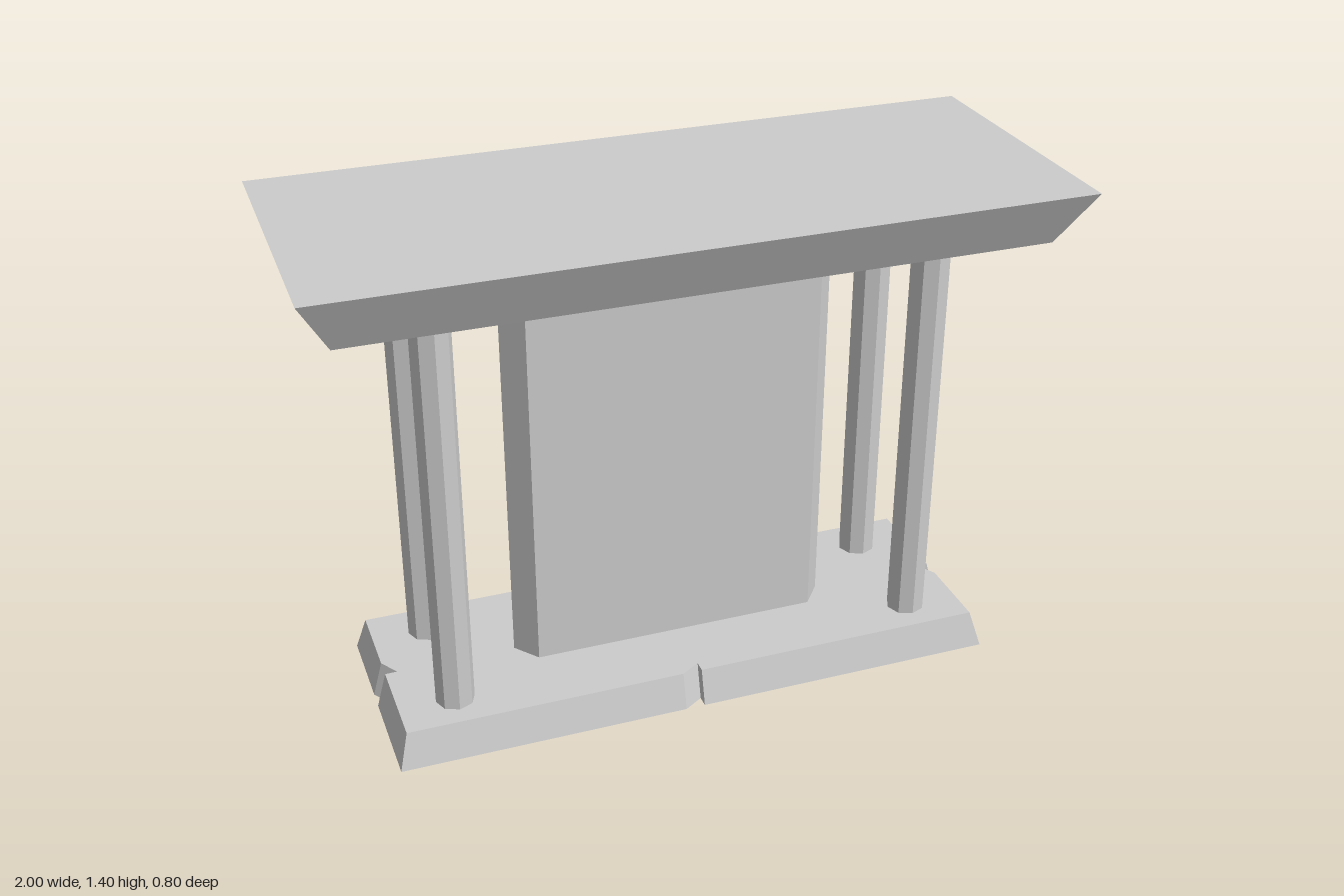
import * as THREE from 'three';

const stone = new THREE.MeshStandardMaterial({ color: 0xcccccc, side: THREE.DoubleSide });
stone.name = 'grey stone';
stone.flatShading = true;

// Joins two matching plan outlines of [x, z] points; caps are optional
function loft(name, lower, upper, y0, y1, closeBottom, closeTop) {
  const pos = [];
  const put = (ring, y, i) => pos.push(ring[i][0], y, ring[i][1]);
  const n = lower.length;
  for (let i = 0; i < n; i++) {
    const j = (i + 1) % n;
    put(lower, y0, i); put(lower, y0, j); put(upper, y1, j);
    put(lower, y0, i); put(upper, y1, j); put(upper, y1, i);
  }
  const cap = (ring, y, flip) => {
    const pts = ring.map(([x, z]) => new THREE.Vector2(x, -z));
    for (const [a, b, c] of THREE.ShapeUtils.triangulateShape(pts, [])) {
      for (const i of flip ? [a, c, b] : [a, b, c]) put(ring, y, i);
    }
  };
  if (closeBottom) cap(lower, y0, true);
  if (closeTop) cap(upper, y1, false);
  const geo = new THREE.BufferGeometry();
  geo.setAttribute('position', new THREE.Float32BufferAttribute(pos, 3));
  geo.computeVertexNormals();
  const mesh = new THREE.Mesh(geo, stone);
  mesh.name = name;
  return mesh;
}

const rectangle = (x, z) => [[-x, z], [x, z], [x, -z], [-x, -z]];

// Rectangle with a one-sided notch at the middle of each edge
function notched(x, z, w = 0.053, d = 0.033) {
  const half = [
    [-x, z], [-w, z], [0, z - d], [0, z],
    [x, z], [x, w], [x - d, 0], [x, 0],
  ];
  return [...half, ...half.map(([px, pz]) => [-px, -pz])];
}

export function createModel() {
  const group = new THREE.Group();
  group.name = 'pavilion';

  // Plinth, hollow underneath
  group.add(loft('base', notched(0.845, 0.298), notched(0.818, 0.271), 0, 0.1, false, true));

  // Central wall with pointed ends
  const wall = [[-0.402, 0.067], [0.402, 0.067], [0.455, 0], [0.402, -0.067], [-0.402, -0.067], [-0.455, 0]];
  group.add(loft('wall', wall, wall, 0.1, 1.25, true, true));

  // Four octagonal columns
  const columnGeo = new THREE.CylinderGeometry(0.053, 0.053, 1.15, 8);
  for (const sx of [-1, 1]) {
    for (const sz of [-1, 1]) {
      const column = new THREE.Mesh(columnGeo, stone);
      column.name = 'column';
      column.position.set(sx * 0.663, 0.675, sz * 0.167);
      group.add(column);
    }
  }

  // Roof slab flaring outwards
  group.add(loft('roof', rectangle(0.922, 0.325), rectangle(1, 0.402), 1.25, 1.4, true, true));

  return group;
}
